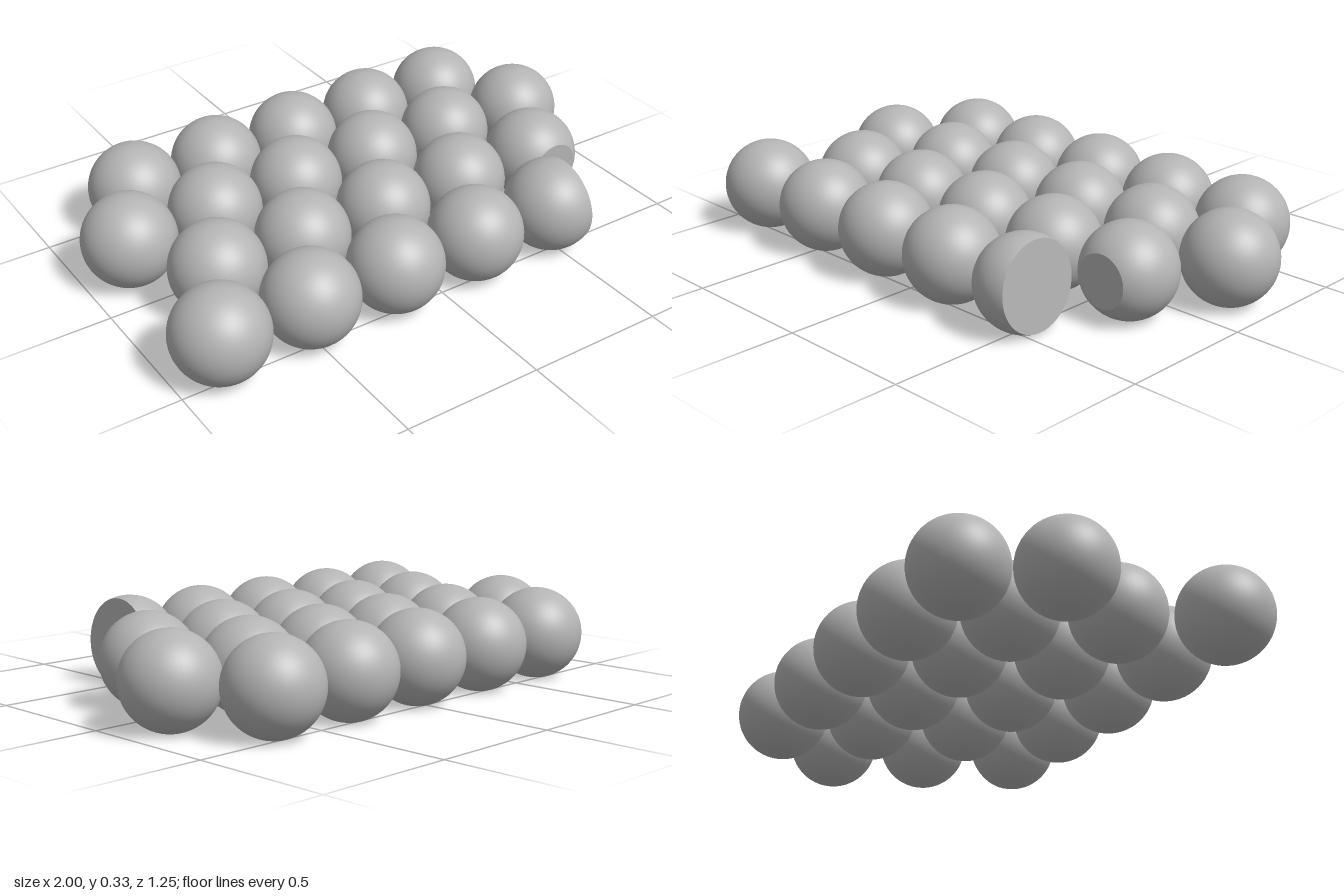
import * as THREE from 'three';

const R = 0.1667;      // ball radius
const CENTRE_Y = 0.16; // balls sit on a small flat cut at y = 0
const FLAT = Math.acos(CENTRE_Y / R); // angular size of the bottom flat
const SEGS = 48, RINGS = 32;

// Ball with a flat foot and an optional second flat on its side. The skin is a
// loft of circles on the sphere, sweeping from the side flat to the foot.
//   side: horizontal direction of the side flat, elevation: its upward tilt,
//   distance: how far the side flat lies from the ball's centre
function cutBall(side = new THREE.Vector3(1, 0, 0), elevation = Math.PI / 2, distance = R) {
  const up = new THREE.Vector3(0, 1, 0);
  const w = new THREE.Vector3().crossVectors(side, up);
  const startAngle = Math.acos(distance / R);
  const pos = [], nor = [], idx = [];
  const add = (p, n) => {
    pos.push(p.x, p.y, p.z);
    nor.push(n.x, n.y, n.z);
    return pos.length / 3 - 1;
  };
  const circle = (t) => {
    const e = THREE.MathUtils.lerp(elevation, Math.PI / 2, t);
    const rho = THREE.MathUtils.lerp(startAngle, Math.PI - FLAT, t);
    const c = side.clone().multiplyScalar(Math.cos(e)).addScaledVector(up, Math.sin(e));
    const e2 = new THREE.Vector3().crossVectors(c, w);
    const points = [];
    for (let j = 0; j <= SEGS; j++) {
      const a = (j / SEGS) * Math.PI * 2;
      points.push(c.clone().multiplyScalar(Math.cos(rho))
        .addScaledVector(w, Math.cos(a) * Math.sin(rho))
        .addScaledVector(e2, Math.sin(a) * Math.sin(rho)));
    }
    return { c, rho, points };
  };

  // round skin
  for (let i = 0; i <= RINGS; i++) {
    circle(i / RINGS).points.forEach((n) => add(n.clone().multiplyScalar(R), n));
  }
  for (let i = 0; i < RINGS; i++) {
    for (let j = 0; j < SEGS; j++) {
      const a = i * (SEGS + 1) + j, b = a + SEGS + 1;
      idx.push(a, b, b + 1, a, b + 1, a + 1);
    }
  }

  // flat discs
  const disc = (t, sign) => {
    const { c, rho, points } = circle(t);
    const n = c.clone().multiplyScalar(sign);
    const mid = add(c.clone().multiplyScalar(R * Math.cos(rho)), n);
    points.forEach((p) => add(p.clone().multiplyScalar(R), n));
    for (let j = 1; j <= SEGS; j++) {
      if (sign > 0) idx.push(mid, mid + j, mid + j + 1);
      else idx.push(mid, mid + j + 1, mid + j);
    }
  };
  if (distance < R) disc(0, 1);
  disc(1, -1);

  const g = new THREE.BufferGeometry();
  g.setAttribute('position', new THREE.Float32BufferAttribute(pos, 3));
  g.setAttribute('normal', new THREE.Float32BufferAttribute(nor, 3));
  g.setIndex(idx);
  return g;
}

export function createModel() {
  const model = new THREE.Group();
  model.name = 'ballRaft';
  const grey = new THREE.MeshStandardMaterial({ color: 0xb4b4b4 });
  grey.name = 'grey';

  const plain = cutBall();
  const frontCut = cutBall(new THREE.Vector3(0, 0, 1), 0, 0.138);
  const sideCut = cutBall(new THREE.Vector3(1, 0, 0), 0.075, 0.059);

  // staggered rows, back to front; the last ball of a row may be cut
  const rows = [
    { name: 'backRow', z: -0.459, startX: -0.6667, count: 5 },
    { name: 'middleBackRow', z: -0.168, startX: -0.8333, count: 6 },
    { name: 'middleFrontRow', z: 0.145, startX: -0.6667, count: 5, last: frontCut },
    { name: 'frontRow', z: 0.458, startX: -0.8333, count: 5, last: sideCut },
  ];
  for (const { name, z, startX, count, last } of rows) {
    const row = new THREE.Group();
    row.name = name;
    for (let i = 0; i < count; i++) {
      const isCut = last && i === count - 1;
      const ball = new THREE.Mesh(isCut ? last : plain, grey);
      ball.name = isCut ? 'cutBall' : 'ball';
      ball.position.set(startX + i * 2 * R, CENTRE_Y, z);
      row.add(ball);
    }
    model.add(row);
  }
  return model;
}
